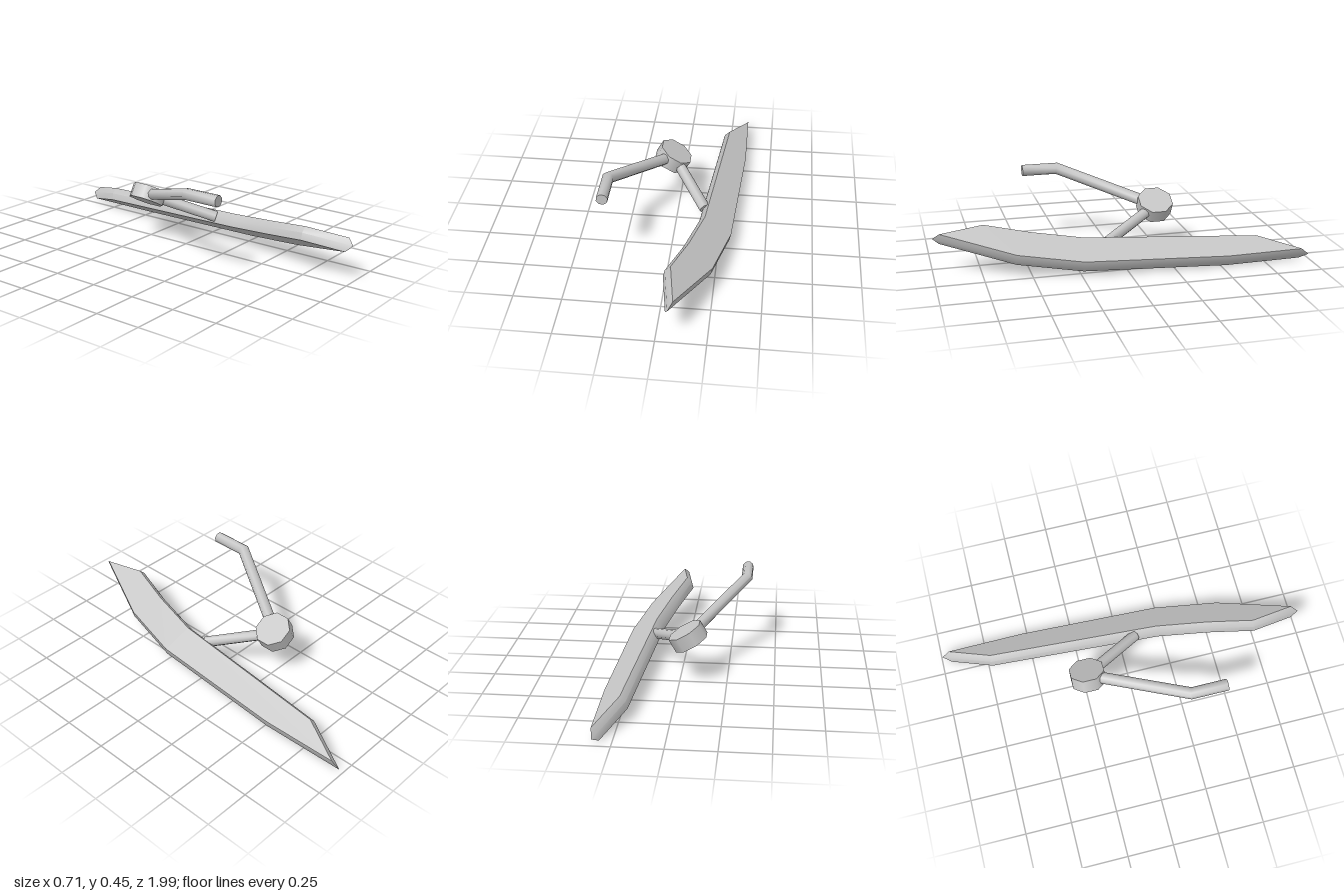
import * as THREE from 'three';
import { toCreasedNormals } from 'three/addons/utils/BufferGeometryUtils.js';

const HALF = 0.0375; // half thickness of the flat parts
const V = (x, z) => new THREE.Vector2(x, z);

// Unit normal of the step a -> b, pointing to the side (dz, -dx)
const sideOf = (a, b) => V(b.y - a.y, a.x - b.x).normalize();

// Mitred offset direction where two steps with normals m and n meet
const miter = (m, n) => m.clone().add(n).divideScalar(1 + m.dot(n));

// Flat plate whose rim swells to a ridge halfway through its thickness
function ridgedPlate(outline, swell) {
  const count = outline.length;
  const ridge = outline.map((p, i) => {
    const prev = outline[(i + count - 1) % count], next = outline[(i + 1) % count];
    return p.clone().addScaledVector(miter(sideOf(prev, p), sideOf(p, next)), swell);
  });
  const pos = [];
  const put = (p, y) => pos.push(p.x, y, p.y);
  // top and bottom faces
  for (const [a, b, c] of THREE.ShapeUtils.triangulateShape(outline, [])) {
    for (const k of [a, c, b]) put(outline[k], HALF);
    for (const k of [a, b, c]) put(outline[k], -HALF);
  }
  // upper and lower halves of the rim
  for (let i = 0; i < count; i++) {
    const j = (i + 1) % count;
    const strip = (a, ya, b, yb) => {
      put(a[i], ya); put(b[j], yb); put(b[i], yb);
      put(a[i], ya); put(a[j], ya); put(b[j], yb);
    };
    strip(outline, HALF, ridge, 0);
    strip(ridge, 0, outline, -HALF);
  }
  const g = new THREE.BufferGeometry();
  g.setAttribute('position', new THREE.Float32BufferAttribute(pos, 3));
  return toCreasedNormals(g, 0.62);
}

// Eight-sided rod following a path in the x-z plane, mitred at its bends
function rod(path, radius) {
  const last = path.length - 1;
  const g = new THREE.CylinderGeometry(radius, radius, 1, 8, last);
  const sides = path.map((p, i) => {
    const before = i > 0 ? sideOf(path[i - 1], p) : sideOf(p, path[1]);
    const after = i < last ? sideOf(p, path[i + 1]) : before;
    return miter(before, after);
  });
  const pos = g.attributes.position;
  for (let v = 0; v < pos.count; v++) {
    const i = Math.round((pos.getY(v) + 0.5) * last);
    const x = pos.getX(v), z = pos.getZ(v);
    pos.setXYZ(v, path[i].x + x * sides[i].x, -z, path[i].y + x * sides[i].y);
  }
  return toCreasedNormals(g, 0.9);
}

export function createModel() {
  const grey = new THREE.MeshStandardMaterial({ color: 0xc4c4c4 });
  grey.name = 'grey';

  const model = new THREE.Group();
  model.name = 'bladeOnArm';
  // everything lies in one plane, tilted sideways
  const tilted = new THREE.Group();
  tilted.name = 'tiltedAssembly';
  tilted.rotation.z = -Math.PI / 6;
  tilted.position.y = 0.2265;
  model.add(tilted);

  const add = (name, geometry) => {
    const mesh = new THREE.Mesh(geometry, grey);
    mesh.name = name;
    tilted.add(mesh);
    return mesh;
  };

  // long curved blade, pointed at both ends
  add('blade', ridgedPlate([
    V(0.033, 0.727), V(0.11, 0.487), V(0.178, 0.21), V(0.262, -0.725), V(0.382, -0.95),
    V(0.388, -0.53), V(0.343, 0.24), V(0.26, 0.58), V(0.075, 0.96),
  ], 0.011));

  // eight-sided hub
  const hub = add('hub', new THREE.CylinderGeometry(0.098, 0.098, 0.078, 8));
  hub.position.set(-0.05, 0, -0.233);
  hub.rotation.y = Math.PI / 8;

  // bent handle rod and the short strut that holds the blade
  add('handleRod', rod([V(-0.05, -0.233), V(-0.381, 0.26), V(-0.381, 0.455)], 0.031));
  add('strut', rod([V(-0.045, -0.233), V(0.188, 0.085)], 0.03));

  return model;
}
